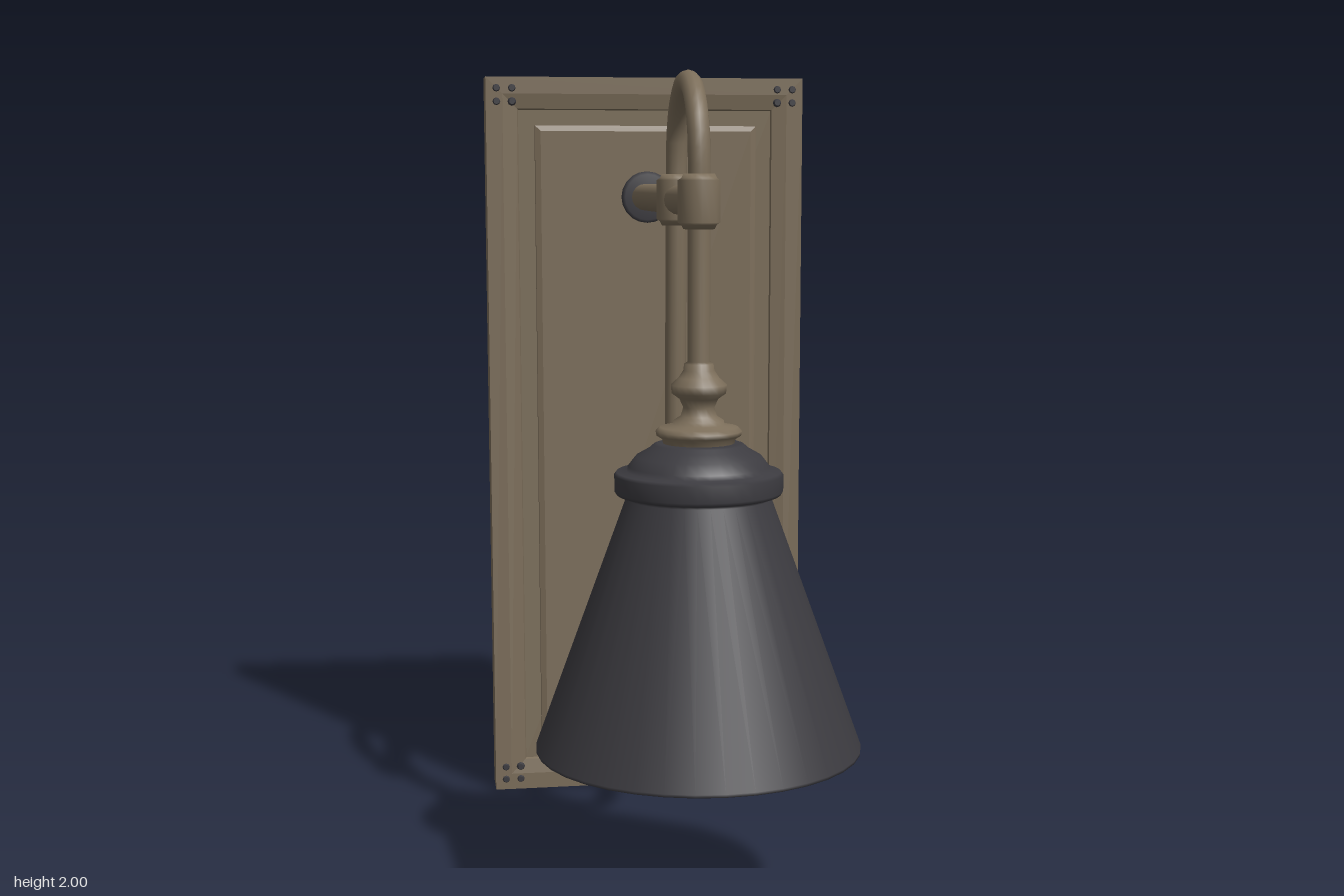
import * as THREE from 'three';

const mat = (name, color) => {
  const m = new THREE.MeshStandardMaterial({ color });
  m.name = name;
  return m;
};

// Rectangular mitred moulding; profile rows are [inset, z], from inner front to inner back
function mouldingGeometry(w, h, profile) {
  const pos = [];
  const corner = ([inset, z], j) => {
    const sx = j % 4 === 0 || j % 4 === 3 ? 1 : -1;
    const sy = j % 4 < 2 ? 1 : -1;
    return [sx * (w / 2 - inset), sy * (h / 2 - inset), z];
  };
  for (let i = 0; i < profile.length - 1; i++) {
    for (let j = 0; j < 4; j++) {
      const a0 = corner(profile[i], j), a1 = corner(profile[i], j + 1);
      const b0 = corner(profile[i + 1], j), b1 = corner(profile[i + 1], j + 1);
      pos.push(...a0, ...b0, ...b1, ...a0, ...b1, ...a1);
    }
  }
  const g = new THREE.BufferGeometry();
  g.setAttribute('position', new THREE.Float32BufferAttribute(pos, 3));
  g.computeVertexNormals();
  return g;
}

const lathe = (rows, sides) =>
  new THREE.LatheGeometry(rows.map(([r, y]) => new THREE.Vector2(r, y)), sides);

export function createModel() {
  const bronze = mat('bronze', 0x7c6e5a);
  const iron = mat('darkIron', 0x3c3b40);
  const glass = mat('whiteGlass', 0xf0f0f0);
  const model = new THREE.Group();
  model.name = 'wallLamp';
  const add = (name, geometry, material, x = 0, y = 0, z = 0, parent = model) => {
    const m = new THREE.Mesh(geometry, material);
    m.name = name;
    m.position.set(x, y, z);
    parent.add(m);
    return m;
  };

  const W = 0.874, cx = -0.008, lampZ = 0.342, backZ = -0.005, armY = 1.677;

  // Back plate: mitred frame, sunken board and raised front panel
  add('plateFrame', mouldingGeometry(W, 2, [
    [0.09, -0.65], [0.085, -0.638], [0.045, -0.63], [0, -0.63],
    [0, -0.735], [0.085, -0.735], [0.092, -0.705],
  ]), bronze, 0, 1, 0);
  add('plateBoard', new THREE.BoxGeometry(W - 0.17, 1.83, 0.06), bronze, 0, 1, -0.675);
  add('raisedPanel', mouldingGeometry(0.61, 1.73, [
    [0.015, -0.62], [0, -0.626], [0, -0.66],
  ]), bronze, 0, 1.005, 0);
  add('raisedPanelFace', new THREE.PlaneGeometry(0.58, 1.7), bronze, 0, 1.005, -0.62);

  // Four studs in each corner of the plate
  const studGeometry = new THREE.CylinderGeometry(0.008, 0.012, 0.008, 8).rotateX(Math.PI / 2);
  for (const sx of [-1, 1]) for (const sy of [-1, 1]) {
    const studs = new THREE.Group();
    studs.name = 'cornerStuds';
    studs.position.set(sx * 0.387, 1 + sy * 0.952, -0.629);
    for (const dx of [-1, 1]) for (const dy of [-1, 1])
      add('stud', studGeometry, iron, dx * 0.021, dy * 0.018, 0, studs);
    model.add(studs);
  }

  // Wall rosettes
  const rosette = lathe([[0.07, 0], [0.07, 0.018], [0.062, 0.027], [0, 0.027]], 20).rotateX(Math.PI / 2);
  add('upperRosette', rosette, iron, 0, armY, -0.622);
  add('lowerRosette', rosette, iron, cx, 0.285, -0.622);

  // Horizontal arm
  add('arm', new THREE.CylinderGeometry(0.036, 0.036, 0.94, 16).rotateX(Math.PI / 2),
    bronze, cx, armY, lampZ - 0.47);

  // Collars where the pipes cross the arm
  const collar = lathe([[0, -0.062], [0.036, -0.062], [0.041, -0.052], [0.049, -0.047],
    [0.049, 0.047], [0.041, 0.052], [0.036, 0.062], [0, 0.062]], 16);
  add('frontCollar', collar, bronze, cx, armY, lampZ);
  add('rearCollar', collar, bronze, cx, armY, backZ);

  // Curved pipe: hoop above the arm, then down and back to the wall
  const hoopR = (lampZ - backZ) / 2, hoopZ = (lampZ + backZ) / 2;
  const path = [[1.69, lampZ]];
  for (let i = 0; i <= 8; i++) {
    const a = (i / 8) * Math.PI;
    path.push([1.778 + hoopR * Math.sin(a), hoopZ + hoopR * Math.cos(a)]);
  }
  path.push([1.6, -0.011], [1.25, -0.026], [0.9, -0.043], [0.62, -0.078], [0.49, -0.118],
    [0.39, -0.178], [0.315, -0.27], [0.268, -0.39], [0.274, -0.5], [0.287, -0.61]);
  const pipe = new THREE.CatmullRomCurve3(path.map(([y, z]) => new THREE.Vector3(cx, y, z)));
  add('curvedPipe', new THREE.TubeGeometry(pipe, 72, 0.026, 12), bronze);

  // Lamp: stem with turned finial, shade and bulb
  const lamp = new THREE.Group();
  lamp.name = 'lamp';
  lamp.position.set(cx, 0, lampZ);
  model.add(lamp);
  add('stem', lathe([
    [0.08, 1.115], [0.085, 1.138], [0.098, 1.146], [0.1, 1.156], [0.09, 1.165], [0.06, 1.17],
    [0.058, 1.18], [0.042, 1.19], [0.036, 1.21], [0.045, 1.23], [0.063, 1.243], [0.065, 1.262],
    [0.047, 1.278], [0.036, 1.295], [0.034, 1.31], [0.026, 1.315], [0.026, 1.64],
  ], 20), bronze, 0, 0, 0, lamp);
  // Inner wall runs down to the rim, outer wall back up to the cap
  add('shade', lathe([
    [0, 1.04], [0.15, 1.04], [0.155, 1.02], [0.372, 0.412], [0.376, 0.405], [0.381, 0.405],
    [0.382, 0.412], [0.168, 1.0], [0.171, 1.006], [0.19, 1.01], [0.195, 1.018],
    [0.195, 1.055], [0.19, 1.062], [0.166, 1.064], [0.163, 1.075], [0.145, 1.098],
    [0.115, 1.115], [0.104, 1.125], [0.095, 1.128], [0, 1.128],
  ], 36), iron, 0, 0, 0, lamp);
  add('bulb', new THREE.SphereGeometry(0.17, 24, 16), glass, 0, 0.62, 0, lamp);
  add('bulbSocket', new THREE.CylinderGeometry(0.07, 0.08, 0.3, 16), iron, 0, 0.9, 0, lamp);

  return model;
}
